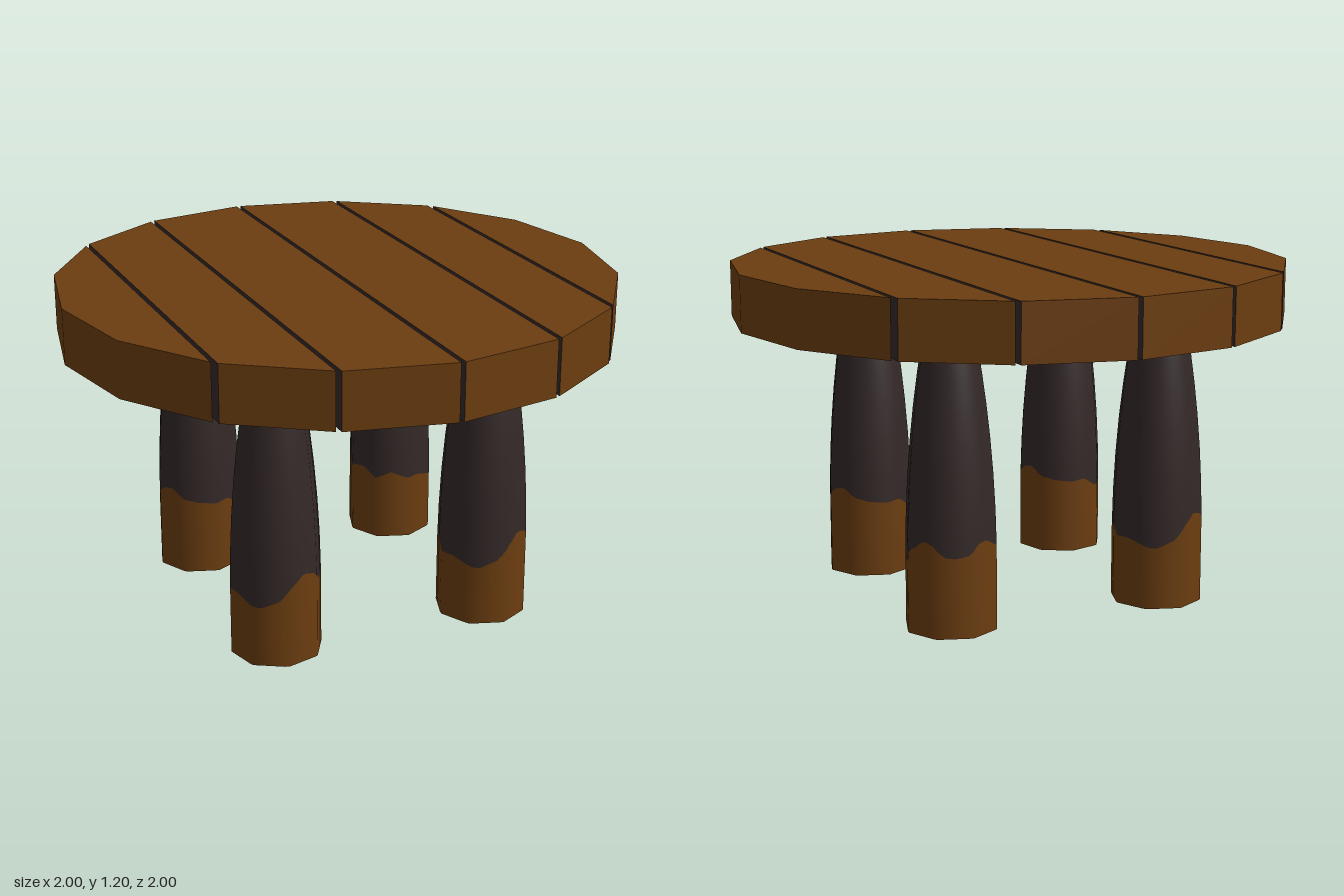
import * as THREE from 'three';

const TOP = 1.2, UNDER = 1.0, LEG_X = 0.4, GAP = 0.008;

// Half-depth of the 16-sided table top at a given x
const corners = Array.from({ length: 9 }, (_, i) => {
  const a = Math.PI - (i * Math.PI) / 8;
  return [Math.cos(a), Math.sin(a)];
});
function halfDepth(x) {
  for (let i = 0; i < 8; i++) {
    const [x0, z0] = corners[i], [x1, z1] = corners[i + 1];
    if (x <= x1 + 1e-9) return z0 + ((z1 - z0) * (x - x0)) / (x1 - x0);
  }
  return 0;
}

// Smooth strip through rows of points; rows run upward, points run counter-clockwise seen from above
function strip(rows) {
  const n = rows[0].length, index = [];
  for (let r = 0; r < rows.length - 1; r++) {
    for (let i = 0; i < n - 1; i++) {
      const a = r * n + i, b = a + 1, c = b + n, d = a + n;
      index.push(a, b, c, a, c, d);
    }
  }
  const g = new THREE.BufferGeometry();
  g.setAttribute('position', new THREE.Float32BufferAttribute(rows.flat(2), 3));
  g.setIndex(index);
  g.computeVertexNormals();
  return g;
}
const wall = (pts) => strip([UNDER, TOP].map((y) => pts.map(([x, z]) => [x, y, z])));

function addMesh(parent, name, geometry, material) {
  const m = new THREE.Mesh(geometry, material);
  m.name = name;
  parent.add(m);
  return m;
}

// One board: wooden top and rim, dark underside and cut edges
function makePlank(x0, x1, wood, dark) {
  const plank = new THREE.Group();
  plank.name = 'plank';
  const inner = corners.filter(([x]) => x > x0 + 0.001 && x < x1 - 0.001).map(([x]) => x);
  const front = [x0, ...inner, x1].map((x) => [x, halfDepth(x)]);
  const back = front.map(([x, z]) => [x, -z]).reverse();
  const f0 = front[0], f1 = front[front.length - 1], b1 = back[0], b0 = back[back.length - 1];
  let outline = [...front, ...back];

  if (x1 >= 1) {
    outline = [...front, ...back.slice(1)];
    addMesh(plank, 'rim', wall(outline), wood);
  } else if (x0 <= -1) {
    outline = [...back, ...front.slice(1)];
    addMesh(plank, 'rim', wall(outline), wood);
  } else {
    addMesh(plank, 'frontRim', wall(front), wood);
    addMesh(plank, 'backRim', wall(back), wood);
  }
  if (x1 < 1) addMesh(plank, 'rightCut', wall([f1, b1]), dark);
  if (x0 > -1) addMesh(plank, 'leftCut', wall([b0, f0]), dark);

  const upper = new THREE.Shape(outline.map(([x, z]) => new THREE.Vector2(x, -z)));
  const lower = new THREE.Shape(outline.map(([x, z]) => new THREE.Vector2(x, z)));
  addMesh(plank, 'topFace', new THREE.ShapeGeometry(upper).rotateX(-Math.PI / 2).translate(0, TOP, 0), wood);
  addMesh(plank, 'underside', new THREE.ShapeGeometry(lower).rotateX(Math.PI / 2).translate(0, UNDER, 0), dark);
  return plank;
}

// Ragged paint line around a leg: angle from the front in degrees, height
const paintLine = [
  [-90, 0.25], [-70, 0.25], [-50, 0.235], [-30, 0.22], [-16, 0.235], [-4, 0.25], [8, 0.295], [18, 0.31],
  [30, 0.335], [45, 0.325], [60, 0.285], [75, 0.28], [90, 0.29], [104, 0.325], [120, 0.33], [140, 0.3],
  [158, 0.285], [180, 0.28], [205, 0.285], [225, 0.25], [248, 0.275], [270, 0.25],
];
function paintHeight(deg) {
  for (let i = 0; i < paintLine.length - 1; i++) {
    const [a, h] = paintLine[i], [b, k] = paintLine[i + 1];
    if (deg <= b) return h + ((k - h) * (deg - a)) / (b - a);
  }
  return paintLine[0][1];
}

// Leg radius by height: straight foot, then a curved taper
function legRadius(y) {
  const t = Math.max(0, (y - 0.2) / 0.8);
  return 0.165 - 0.069 * Math.pow(t, 2.1);
}

function makeLeg(wood, dark) {
  const leg = new THREE.Group();
  leg.name = 'leg';
  const steps = 64, side = Math.PI / 4, twist = 0.08;
  const ring = (heightAt) => Array.from({ length: steps + 1 }, (_, i) => {
    const deg = -90 + (i * 360) / steps, a = (deg * Math.PI) / 180;
    const off = ((((a - twist) % side) + side) % side) - side / 2;
    const y = heightAt(deg);
    const r = (legRadius(y) * Math.cos(side / 2)) / Math.cos(off);
    return [Math.sin(a) * r, y, Math.cos(a) * r];
  });
  // Rounded shading over the eight sides
  const soften = (g) => {
    const p = g.attributes.position, v = new THREE.Vector3();
    for (let i = 0; i < p.count; i++) {
      const y = p.getY(i), slope = (legRadius(y - 0.01) - legRadius(y + 0.01)) / 0.02;
      v.set(p.getX(i), 0, p.getZ(i)).normalize().setY(slope).normalize();
      g.attributes.normal.setXYZ(i, v.x, v.y, v.z);
    }
    return g;
  };
  const foot = [0, 1].map((t) => ring((d) => paintHeight(d) * t));
  const shaft = [0, 0.18, 0.36, 0.54, 0.7, 0.85, 1].map((t) =>
    ring((d) => paintHeight(d) * (1 - t) + UNDER * t));
  addMesh(leg, 'bareFoot', soften(strip(foot)), wood);
  addMesh(leg, 'darkShaft', soften(strip(shaft)), dark);
  const sole = new THREE.CircleGeometry(legRadius(0), 8, Math.PI / 2 - twist);
  addMesh(leg, 'sole', sole.rotateX(Math.PI / 2), wood);
  return leg;
}

export function createModel() {
  const wood = new THREE.MeshStandardMaterial({ color: 0x6b3d10 });
  wood.name = 'brown wood';
  const dark = new THREE.MeshStandardMaterial({ color: 0x342828 });
  dark.name = 'dark bark';

  const table = new THREE.Group();
  table.name = 'roundTable';

  // Table top: six boards with narrow gaps
  const tableTop = new THREE.Group();
  tableTop.name = 'tableTop';
  const cuts = [-1, -0.709, -0.385, 0, 0.385, 0.709, 1];
  for (let i = 0; i < 6; i++) {
    const x0 = i === 0 ? -1 : cuts[i] + GAP;
    const x1 = i === 5 ? 1 : cuts[i + 1] - GAP;
    tableTop.add(makePlank(x0, x1, wood, dark));
  }
  table.add(tableTop);

  // Four legs, each turned differently
  const turns = [[1, 1, 0], [1, -1, Math.PI / 2], [-1, -1, Math.PI], [-1, 1, -0.2]];
  for (const [sx, sz, turn] of turns) {
    const leg = makeLeg(wood, dark);
    leg.position.set(sx * LEG_X, 0, sz * LEG_X);
    leg.rotation.y = turn;
    table.add(leg);
  }
  return table;
}
